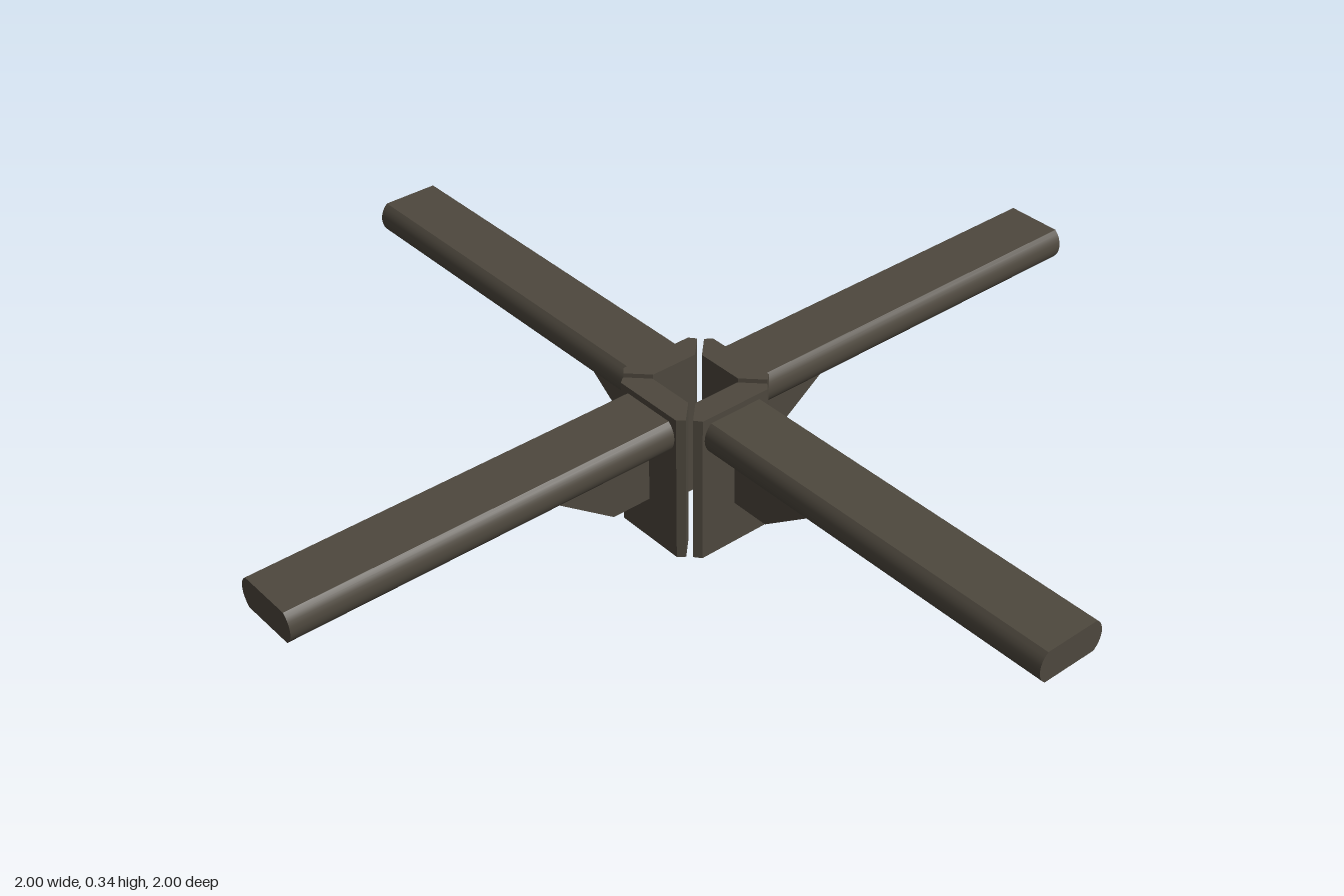
import * as THREE from 'three';
import { mergeGeometries, toCreasedNormals } from 'three/addons/utils/BufferGeometryUtils.js';

const bronze = new THREE.MeshStandardMaterial({ color: 0x4e483e, side: THREE.DoubleSide });
bronze.name = 'dark bronze';

function part(name, geometry) {
  const mesh = new THREE.Mesh(toCreasedNormals(geometry, 0.5), bronze);
  mesh.name = name;
  return mesh;
}

function polygon(points) {
  return new THREE.Shape(points.map(([x, y]) => new THREE.Vector2(x, y)));
}

// Thin-walled hollow form: walls along +z following the profile, capped at the far end only
function shell(points, depth, closed) {
  const n = points.length;
  const position = [], index = [];
  points.forEach(([x, y]) => position.push(x, y, 0, x, y, depth));
  for (let i = 0; i < (closed ? n : n - 1); i++) {
    const a = 2 * i, b = 2 * ((i + 1) % n);
    index.push(a, b, b + 1, a, b + 1, a + 1);
  }
  const walls = new THREE.BufferGeometry();
  walls.setAttribute('position', new THREE.Float32BufferAttribute(position, 3));
  walls.setIndex(index);
  const cap = new THREE.ShapeGeometry(polygon(points)).translate(0, 0, depth);
  cap.deleteAttribute('uv');
  cap.deleteAttribute('normal');
  return mergeGeometries([walls, cap]);
}

// Hollow bar with bulging sides, open along its underside, running out along +z
function armGeometry() {
  const halfHeight = 0.035, radius = 0.045, centre = 0.035, steps = 8;
  const half = Math.asin(halfHeight / radius);
  const right = [];
  for (let i = 0; i <= steps; i++) {
    const a = -half + (2 * half * i) / steps;
    right.push([centre + radius * Math.cos(a), radius * Math.sin(a)]);
  }
  const left = right.map(([x, y]) => [-x, y]).reverse();
  return shell([...right, ...left], 0.88, false).translate(0, 0.293, 0.12);
}

// Quarter of the split collar: hollow wedge with chamfered outer corners, open below
function collarGeometry() {
  const plan = [
    [-0.055, -0.065], [-0.097, -0.107], [-0.085, -0.122],
    [0.085, -0.122], [0.097, -0.107], [0.055, -0.065],
  ].reverse();
  // Plan is listed clockwise or not depending on side; keep it counter-clockwise
  if (THREE.ShapeUtils.isClockWise(plan.map(([x, y]) => new THREE.Vector2(x, y)))) plan.reverse();
  return shell(plan, 0.342, true).rotateX(-Math.PI / 2);
}

// Sloped sheet brace under the arm
function braceGeometry() {
  const side = polygon([[0.12, 0.1], [0.215, 0.1], [0.435, 0.26], [0.12, 0.26]]);
  return new THREE.ShapeGeometry(side).rotateY(-Math.PI / 2);
}

export function createModel() {
  const model = new THREE.Group();
  model.name = 'crossBase';
  ['front', 'left', 'back', 'right'].forEach((name, i) => {
    const quarter = new THREE.Group();
    quarter.name = name + 'Leg';
    quarter.add(
      part('arm', armGeometry()),
      part('collarSegment', collarGeometry()),
      part('brace', braceGeometry()),
    );
    quarter.rotation.y = i * Math.PI / 2;
    model.add(quarter);
  });
  return model;
}
